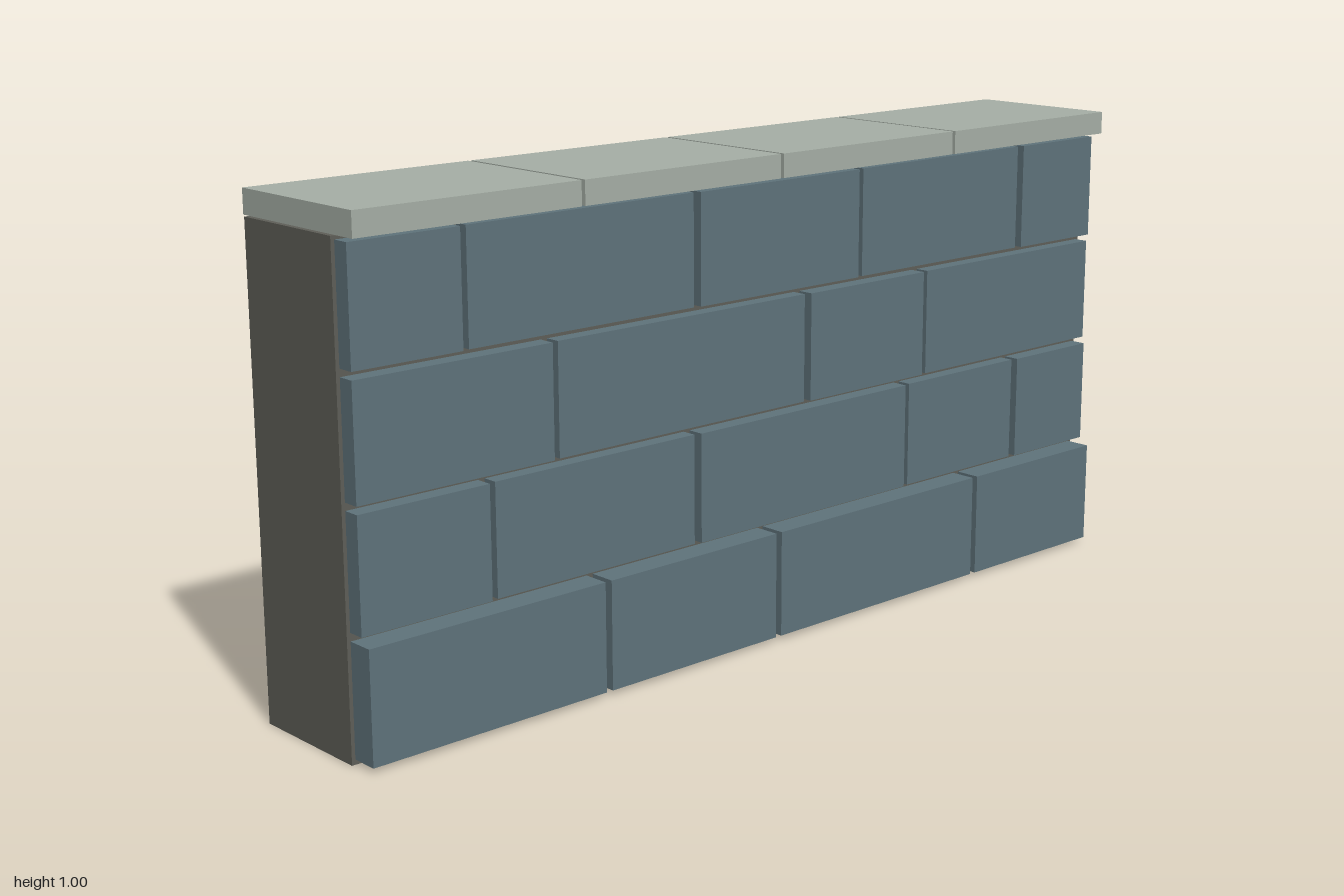
import * as THREE from 'three';

export function createModel() {
  const wall = new THREE.Group();
  wall.name = 'stoneWall';

  const material = (name, color) => {
    const m = new THREE.MeshStandardMaterial({ color });
    m.name = name;
    return m;
  };
  const mortar = material('dark mortar', 0x5f5f58);
  const stone = material('blue grey stone', 0x5f737b);
  const coping = material('pale coping stone', 0xa6afa6);

  // Box given by its lower and upper corners
  const box = (name, mat, [x0, y0, z0], [x1, y1, z1], parent) => {
    const mesh = new THREE.Mesh(new THREE.BoxGeometry(x1 - x0, y1 - y0, z1 - z0), mat);
    mesh.position.set((x0 + x1) / 2, (y0 + y1) / 2, (z0 + z1) / 2);
    mesh.name = name;
    parent.add(mesh);
  };

  // Solid core behind the facing
  box('core', mortar, [-1, 0, -0.16], [1, 0.95, 0.11], wall);

  // Facing stones: each course has its height range, front depth and joints
  const courses = [
    { y: [0.01, 0.231], front: 0.166, joints: [-0.45, 0, 0.6] },
    { y: [0.247, 0.469], front: 0.145, joints: [-0.7, -0.2, 0.4, 0.75] },
    { y: [0.484, 0.706], front: 0.145, joints: [-0.55, 0.1, 0.45] },
    { y: [0.721, 0.943], front: 0.145, joints: [-0.75, -0.2, 0.25, 0.75] },
  ];
  const gap = 0.0075;
  courses.forEach(({ y, front, joints }, row) => {
    const course = new THREE.Group();
    course.name = `course${row + 1}`;
    const edges = [-1, ...joints, 1];
    for (let i = 0; i < edges.length - 1; i++) {
      // Upper courses alternate slightly in depth
      const inset = row > 0 && i % 2 ? 0.004 : 0;
      box('facingStone', stone,
        [edges[i] + gap, y[0], 0.11], [edges[i + 1] - gap, y[1], front - inset], course);
    }
    wall.add(course);
  });

  // Overhanging coping slabs
  for (let i = 0; i < 4; i++) {
    const x = -1 + i * 0.5;
    box('copingSlab', coping, [x + 0.004, 0.952, -0.169], [x + 0.496, 1, 0.169], wall);
  }

  return wall;
}
